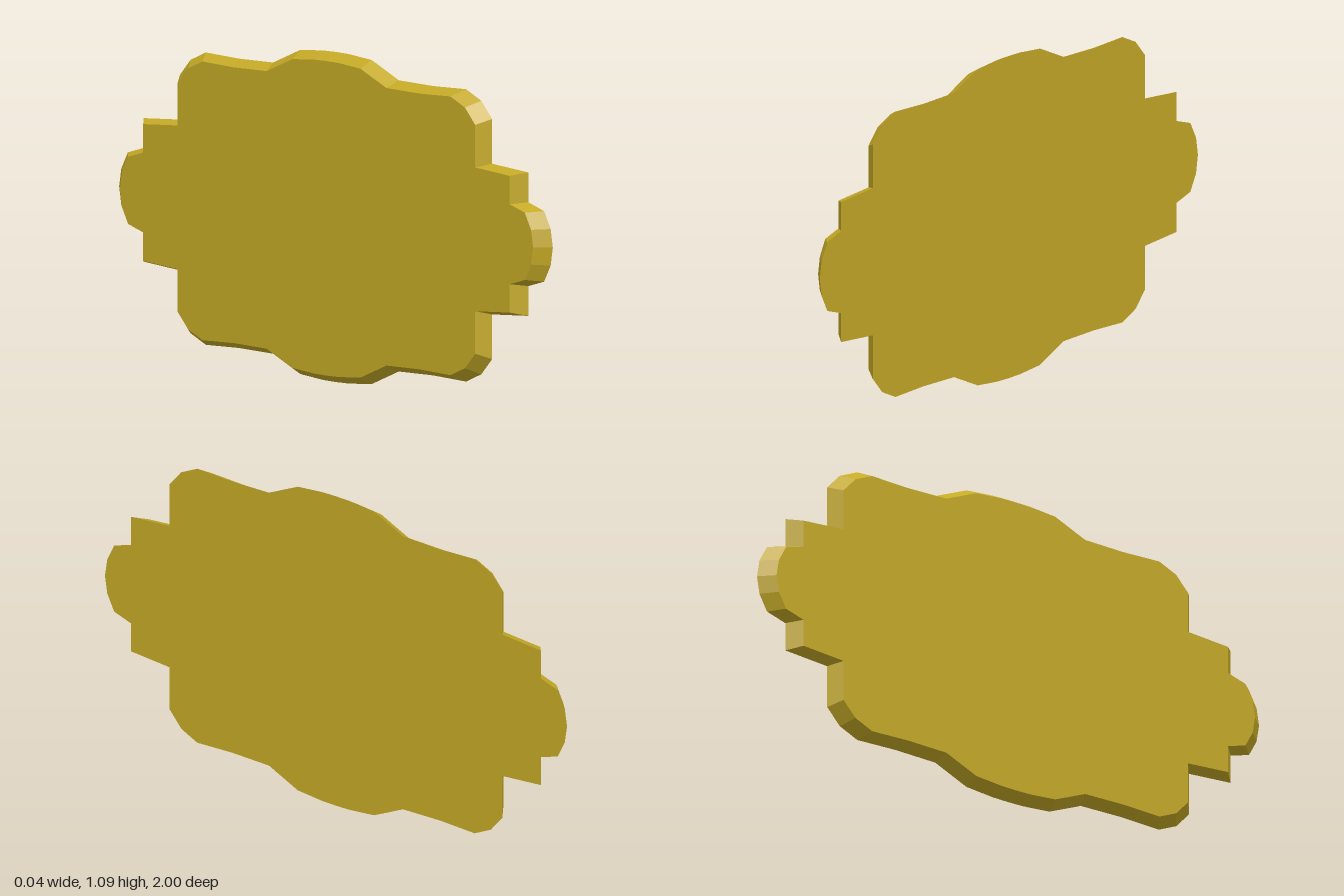
import * as THREE from 'three';

const THICKNESS = 0.044;
const CENTRE_Y = 0.543;
const BACK_SCALE = 0.953; // the back outline is slightly smaller than the face

// One quarter of the outline, from the side tip to the top middle
const QUARTER = [
  [1.0, 0], [0.99, 0.06], [0.96, 0.116], [0.887, 0.138], [0.887, 0.236],
  [0.72, 0.248], [0.72, 0.395], [0.67, 0.45], [0.6, 0.481], [0.45, 0.476],
  [0.29, 0.479], [0.165, 0.533], [0.06, 0.542], [0, 0.543],
];

// Mirror the quarter into the closed, counter-clockwise outline
function outline() {
  const half = [...QUARTER, ...QUARTER.slice(0, -1).reverse().map(([u, v]) => [-u, v])];
  const lower = half.slice(1, -1).reverse().map(([u, v]) => [u, -v]);
  return new THREE.Shape([...half, ...lower].map(([u, v]) => new THREE.Vector2(u, v)));
}

export function createModel() {
  const group = new THREE.Group();
  group.name = 'signPlaque';

  // Flat plate with sides that taper toward the back
  const geometry = new THREE.ExtrudeGeometry(outline(), { depth: THICKNESS, bevelEnabled: false });
  geometry.translate(0, 0, -THICKNESS / 2);
  const pos = geometry.attributes.position;
  for (let i = 0; i < pos.count; i++) {
    if (pos.getZ(i) < 0) pos.setXY(i, pos.getX(i) * BACK_SCALE, pos.getY(i) * BACK_SCALE);
  }
  geometry.rotateY(Math.PI / 2);
  geometry.computeVertexNormals();

  const material = new THREE.MeshStandardMaterial({ color: 0xc4a926, flatShading: true });
  const plate = new THREE.Mesh(geometry, material);
  plate.name = 'plate';
  plate.position.y = CENTRE_Y;
  group.add(plate);
  return group;
}
